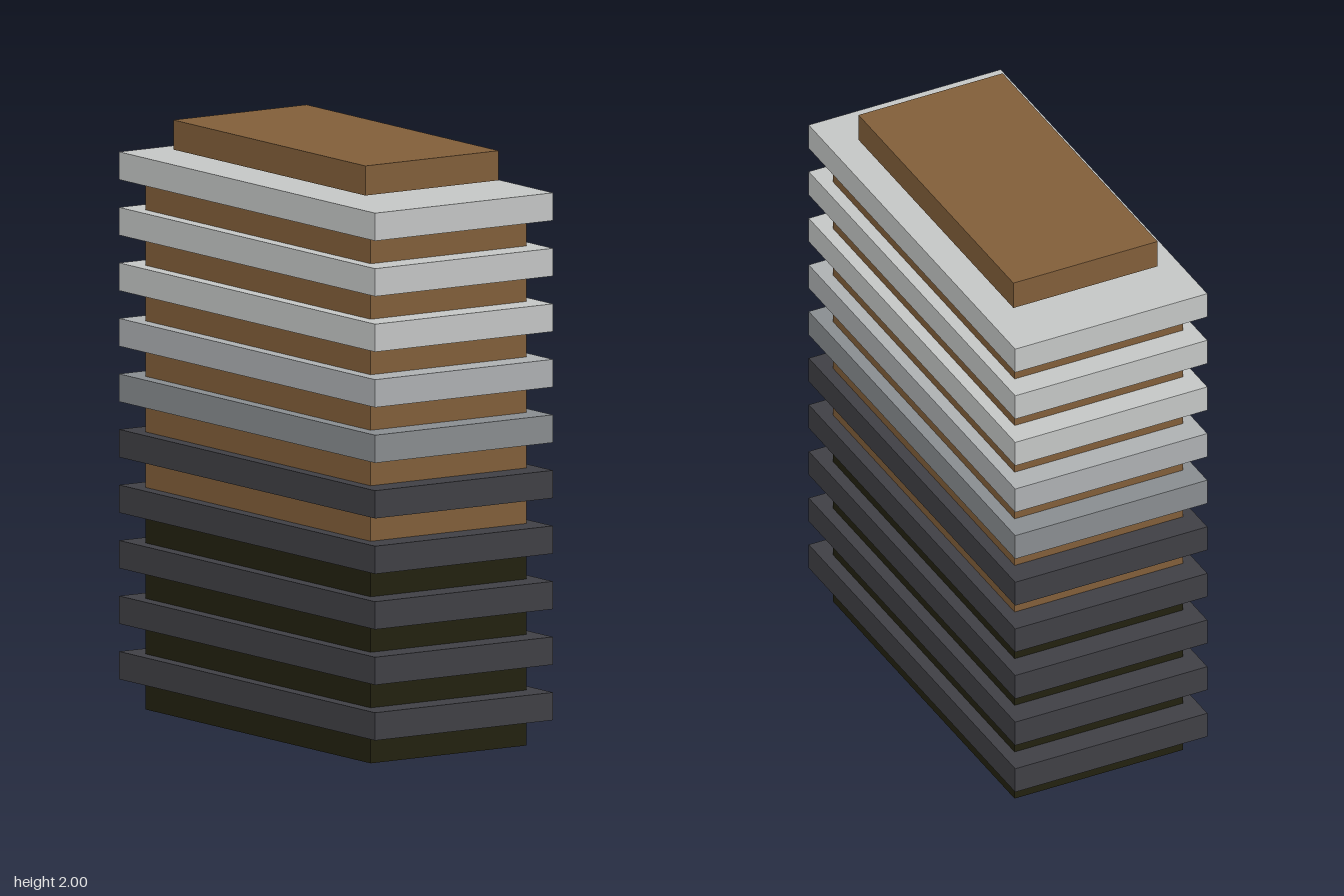
import * as THREE from 'three';

const mat = (name, color) => {
  const m = new THREE.MeshStandardMaterial({ color });
  m.name = name;
  return m;
};

export function createModel() {
  const brown = mat('brown wall', 0x825f3a);
  const dark = mat('dark wall', 0x22210f);
  const pale = mat('pale grey', 0xc6c8c7);
  const light = mat('light grey', 0xafb2b4);
  const mid = mat('mid grey', 0x8a8e91);
  const charcoal = mat('charcoal', 0x404045);

  const model = new THREE.Group();
  model.name = 'tower';

  // Box standing on y0 and reaching y1
  const block = (name, w, d, y0, y1, material) => {
    const mesh = new THREE.Mesh(new THREE.BoxGeometry(w, y1 - y0, d), material);
    mesh.position.y = (y0 + y1) / 2;
    mesh.name = name;
    model.add(mesh);
  };

  // Core: dark lower floors with a brown underside, brown upper floors
  const coreW = 0.632, coreD = 1.32, pitch = 0.1875, slabH = pitch / 2;
  const split = 3.75 * pitch;
  block('lowerCore', coreW, coreD, 0, split, [dark, dark, dark, brown, dark, dark]);
  block('upperCore', coreW, coreD, split, 9.75 * pitch, brown);

  // Projecting floor slabs, charcoal at the base fading to pale grey
  const slabColours = [charcoal, charcoal, charcoal, charcoal, charcoal, mid, light, pale, pale, pale];
  slabColours.forEach((colour, i) => {
    const y = slabH + i * pitch;
    block(`floorSlab${i + 1}`, 0.72, 1.5, y, y + slabH, colour);
  });

  // Roof cap on a recessed neck
  block('roofNeck', 0.35, 0.73, 1.86, 1.91, brown);
  block('roofCap', 0.54, 1.125, 1.9, 2, brown);

  return model;
}
